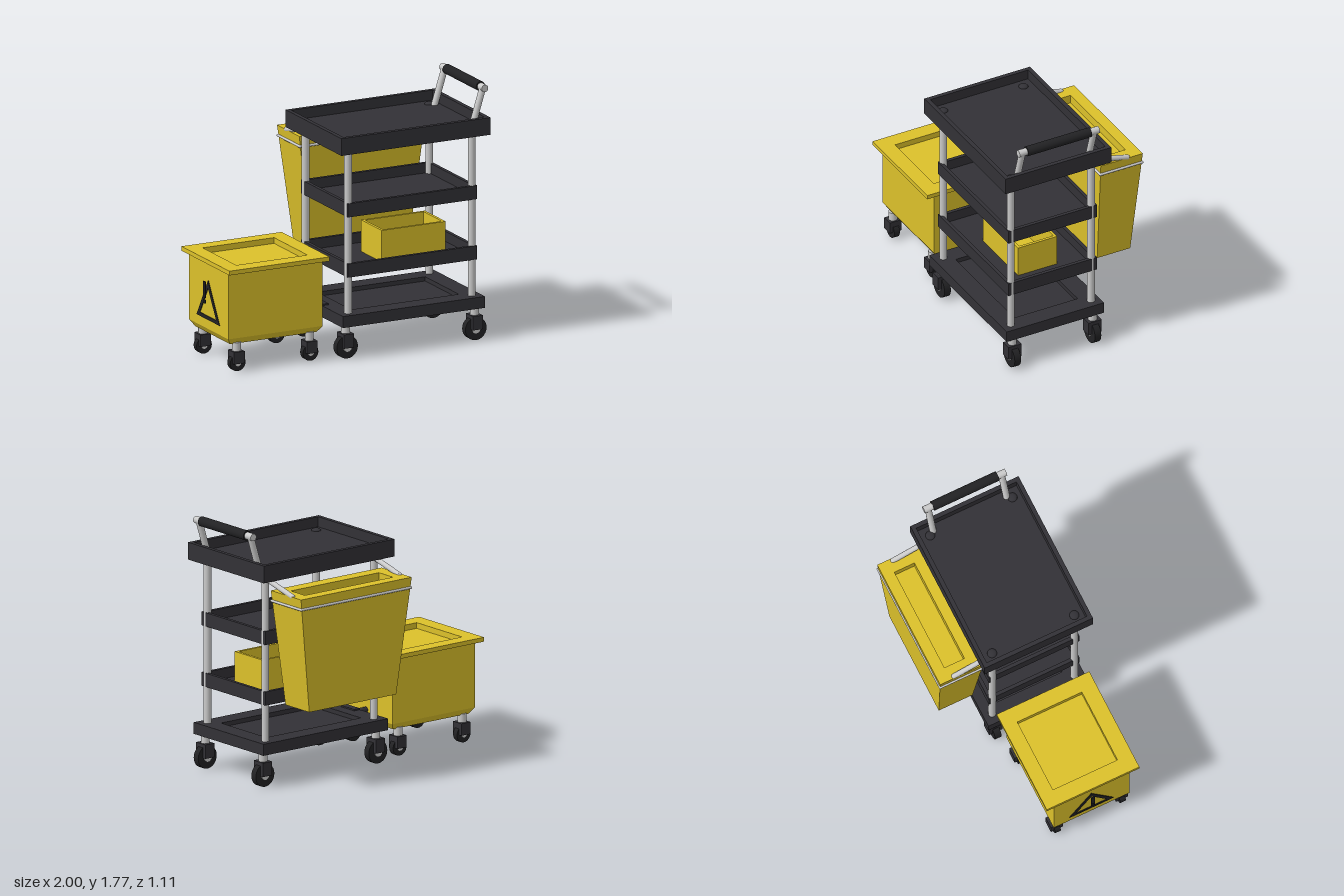
import * as THREE from 'three';

const mat = (color) => new THREE.MeshStandardMaterial({ color });
const yellow = mat(0xdcc12a), dark = mat(0x323136), black = mat(0x222224), grey = mat(0xcccccc);

// Closed solid through rectangular rings [x0, x1, z0, z1, y]; later rings may fold inward to form a recess
function loft(rings, material) {
  const pos = [];
  const corners = rings.map(([x0, x1, z0, z1, y]) => [[x0, y, z1], [x1, y, z1], [x1, y, z0], [x0, y, z0]]);
  const quad = (a, b, c, d) => pos.push(...a, ...b, ...c, ...a, ...c, ...d);
  for (let r = 0; r < corners.length - 1; r++) {
    for (let i = 0; i < 4; i++) {
      const j = (i + 1) % 4;
      quad(corners[r][i], corners[r][j], corners[r + 1][j], corners[r + 1][i]);
    }
  }
  const first = corners[0], last = corners[corners.length - 1];
  quad(first[3], first[2], first[1], first[0]);
  quad(...last);
  const g = new THREE.BufferGeometry();
  g.setAttribute('position', new THREE.Float32BufferAttribute(pos, 3));
  g.computeVertexNormals();
  return new THREE.Mesh(g, material);
}

// Box with a rectangular recess in its top
function tray([x0, x1, z0, z1], y0, y1, rim, depth, material) {
  const inner = [x0 + rim, x1 - rim, z0 + rim, z1 - rim];
  return loft([[x0, x1, z0, z1, y0], [x0, x1, z0, z1, y1], [...inner, y1], [...inner, y1 - depth]], material);
}

function box(x0, x1, y0, y1, z0, z1, material) {
  const m = new THREE.Mesh(new THREE.BoxGeometry(x1 - x0, y1 - y0, z1 - z0), material);
  m.position.set((x0 + x1) / 2, (y0 + y1) / 2, (z0 + z1) / 2);
  return m;
}

// Cylinder between two points
function rod(a, b, r, material, sides = 24) {
  const p = new THREE.Vector3(...a), q = new THREE.Vector3(...b);
  const d = q.clone().sub(p);
  const m = new THREE.Mesh(new THREE.CylinderGeometry(r, r, d.length(), sides), material);
  m.position.copy(p).add(q).multiplyScalar(0.5);
  m.quaternion.setFromUnitVectors(new THREE.Vector3(0, 1, 0), d.normalize());
  return m;
}

function ball(p, r, material) {
  const m = new THREE.Mesh(new THREE.SphereGeometry(r, 20, 12), material);
  m.position.set(...p);
  return m;
}

// Swivel caster: tyre, hub, housing and stem
function caster(x, z, r, halfWidth, halfX, halfZ, top, stemTop) {
  const g = new THREE.Group();
  g.name = 'caster';
  const add = (name, m) => { m.name = name; g.add(m); };
  add('wheel', rod([x, r, z - halfWidth], [x, r, z + halfWidth], r, black, 28));
  add('hub', rod([x, r, z - halfWidth - 0.006], [x, r, z + halfWidth + 0.006], r * 0.4, grey));
  add('housing', box(x - halfX, x + halfX, r * 0.98, top, z - halfZ, z + halfZ, dark));
  add('stem', rod([x, top, z], [x, stemTop, z], 0.03, grey));
  return g;
}

export function createModel() {
  const root = new THREE.Group();
  root.name = 'cleaningCart';
  const add = (name, m) => { m.name = name; root.add(m); return m; };

  // Trays
  add('topTray', tray([-0.17, 0.96, -0.26, 0.55], 1.44, 1.56, 0.03, 0.07, dark));
  for (const y of [0.565, 0.985])
    add('middleTray', tray([-0.09, 0.89, -0.19, 0.49], y, y + 0.095, 0.025, 0.07, dark));
  add('baseTray', tray([-0.145, 0.93, -0.22, 0.525], 0.23, 0.31, 0.13, 0.03, dark));

  // Posts, their caps and the cart casters
  for (const z of [-0.157, 0.458]) {
    for (const [x, cx] of [[-0.073, -0.09], [0.865, 0.885]]) {
      add('post', rod([x, 0.29, z], [x, 1.46, z], 0.026, grey));
      const cap = add('postCap', ball([x, 1.49, z], 0.033, dark));
      cap.scale.y = 0.5;
      root.add(caster(cx, z, 0.08, 0.024, 0.038, 0.05, 0.175, 0.24));
    }
  }

  // Push handle
  const hx = 0.966, hy = 1.738;
  for (const z of [-0.125, 0.425]) add('handleArm', rod([0.877, 1.45, z], [hx, hy, z], 0.023, grey));
  add('handleBar', rod([hx, hy, -0.157], [hx, hy, 0.457], 0.025, grey));
  add('handleGrip', rod([hx, hy, -0.092], [hx, hy, 0.395], 0.034, black));

  // Tapered rear bin
  add('rearBin', loft([
    [0.02, 0.77, -0.51, -0.257, 0.565], [-0.082, 0.873, -0.55, -0.228, 1.37],
    [0.015, 0.775, -0.47, -0.32, 1.37], [0.015, 0.775, -0.47, -0.32, 1.31],
  ], yellow));
  add('binClip', box(0.575, 0.602, 1.195, 1.245, -0.24, -0.218, grey));

  // Wire band around the bin
  const band = [[-0.077, -0.229], [0.868, -0.229], [0.868, -0.547], [-0.077, -0.547]];
  band.forEach(([x, z], i) => {
    const [nx, nz] = band[(i + 1) % 4];
    add('binBand', rod([x, 1.298, z], [nx, 1.298, nz], 0.009, grey, 12));
    add('binBandCorner', ball([x, 1.298, z], 0.009, grey));
  });

  // Bin support arms
  for (const x of [-0.066, 0.856]) {
    add('binArm', rod([x, 1.435, -0.157], [x, 1.365, -0.44], 0.018, grey));
    add('binArmEnd', ball([x, 1.365, -0.44], 0.018, grey));
  }

  // Small open caddy on the lower middle tray
  add('caddy', tray([0.25, 0.735, 0.03, 0.33], 0.585, 0.81, 0.02, 0.2, yellow));

  // Towed bucket with chamfered foot, lip and recessed top
  add('bucketBody', loft([
    [-0.935, -0.28, -0.105, 0.40, 0.19], [-0.965, -0.25, -0.135, 0.43, 0.235], [-0.965, -0.25, -0.135, 0.43, 0.70],
    [-0.99, -0.23, -0.20, 0.493, 0.70], [-0.99, -0.23, -0.20, 0.493, 0.73],
    [-0.88, -0.34, -0.10, 0.383, 0.73], [-0.88, -0.34, -0.10, 0.383, 0.69],
  ], yellow));
  for (const x of [-0.885, -0.333])
    for (const z of [-0.092, 0.395])
      root.add(caster(x, z, 0.058, 0.021, 0.04, 0.045, 0.14, 0.2));

  // Tow bar and hitch
  add('towBar', rod([-0.26, 0.28, 0.145], [-0.1, 0.28, 0.145], 0.02, dark));
  add('hitch', box(-0.145, -0.095, 0.24, 0.32, 0.08, 0.22, dark));

  // Warning triangle on the bucket end
  const tri = (k) => [[-0.165, -0.09], [0.165, -0.09], [0, 0.185]].map(([u, v]) => new THREE.Vector2(u * k, v * k));
  const shape = new THREE.Shape(tri(1));
  shape.holes.push(new THREE.Path(tri(0.72).reverse()));
  const sign = add('warningTriangle', new THREE.Mesh(
    new THREE.ExtrudeGeometry(shape, { depth: 0.006, bevelEnabled: false }), black));
  sign.rotation.y = -Math.PI / 2;
  sign.position.set(-0.964, 0.39, 0.145);
  add('warningBar', box(-1, -0.992, 0.46, 0.573, 0.13, 0.157, black));
  add('warningDot', box(-1, -0.992, 0.42, 0.445, 0.13, 0.157, black));

  return root;
}
